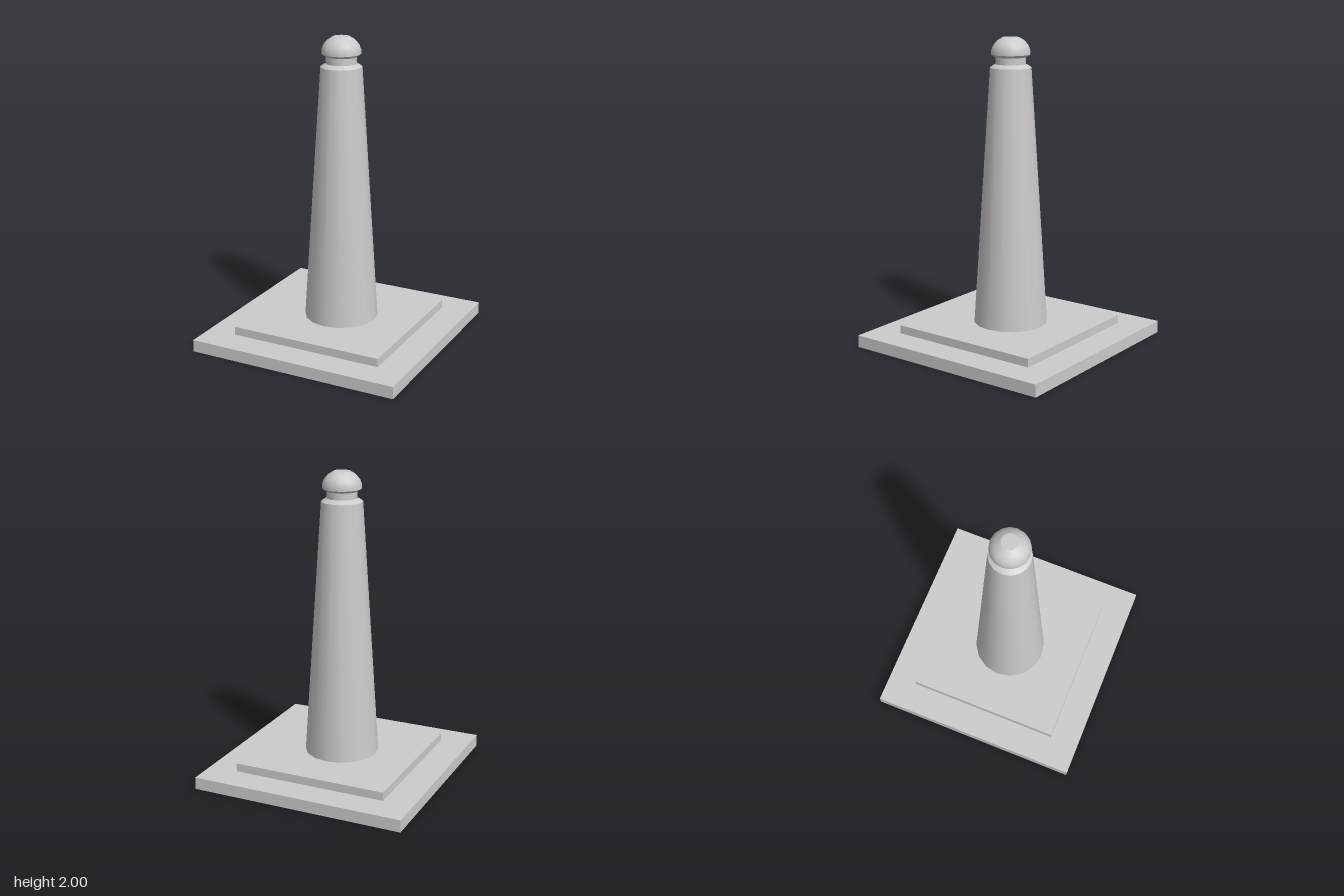
import * as THREE from 'three';
import { toCreasedNormals } from 'three/addons/utils/BufferGeometryUtils.js';

const material = new THREE.MeshStandardMaterial({ color: 0xcccccc });
const openMaterial = new THREE.MeshStandardMaterial({ color: 0xcccccc, side: THREE.DoubleSide });

// Square tray, open underneath: one top face and four walls
function openSlab(name, half, bottom, top) {
  const group = new THREE.Group();
  group.name = name;
  const height = top - bottom;
  const lid = new THREE.Mesh(new THREE.PlaneGeometry(half * 2, half * 2), openMaterial);
  lid.name = name + 'Top';
  lid.rotation.x = -Math.PI / 2;
  lid.position.y = top;
  group.add(lid);
  for (let i = 0; i < 4; i++) {
    const angle = i * Math.PI / 2;
    const wall = new THREE.Mesh(new THREE.PlaneGeometry(half * 2, height), openMaterial);
    wall.name = name + 'Wall';
    wall.rotation.y = angle;
    wall.position.set(Math.sin(angle) * half, bottom + height / 2, Math.cos(angle) * half);
    group.add(wall);
  }
  return group;
}

// Sixteen-sided turned part, profile given from bottom to top as [radius, y]
function turned(name, profile) {
  const points = profile.map(([r, y]) => new THREE.Vector2(r, y));
  const geometry = toCreasedNormals(new THREE.LatheGeometry(points, 16), Math.PI / 6);
  const mesh = new THREE.Mesh(geometry, material);
  mesh.name = name;
  return mesh;
}

export function createModel() {
  const model = new THREE.Group();
  model.name = 'trafficCone';

  // Stepped square foot
  model.add(openSlab('base', 0.71, 0, 0.08));
  model.add(openSlab('step', 0.515, 0.08, 0.135));

  // Tapered body with a chamfered shoulder
  model.add(turned('body', [[0.242, 0.135], [0.133, 1.81], [0.1, 1.832]]));

  // Neck and domed knob with a small flat crown
  model.add(turned('neck', [[0.098, 1.83], [0.098, 1.875]]));
  model.add(turned('knob', [
    [0.098, 1.875], [0.125, 1.892], [0.125, 1.918], [0.113, 1.95],
    [0.088, 1.979], [0.053, 2], [0, 2],
  ]));

  return model;
}
